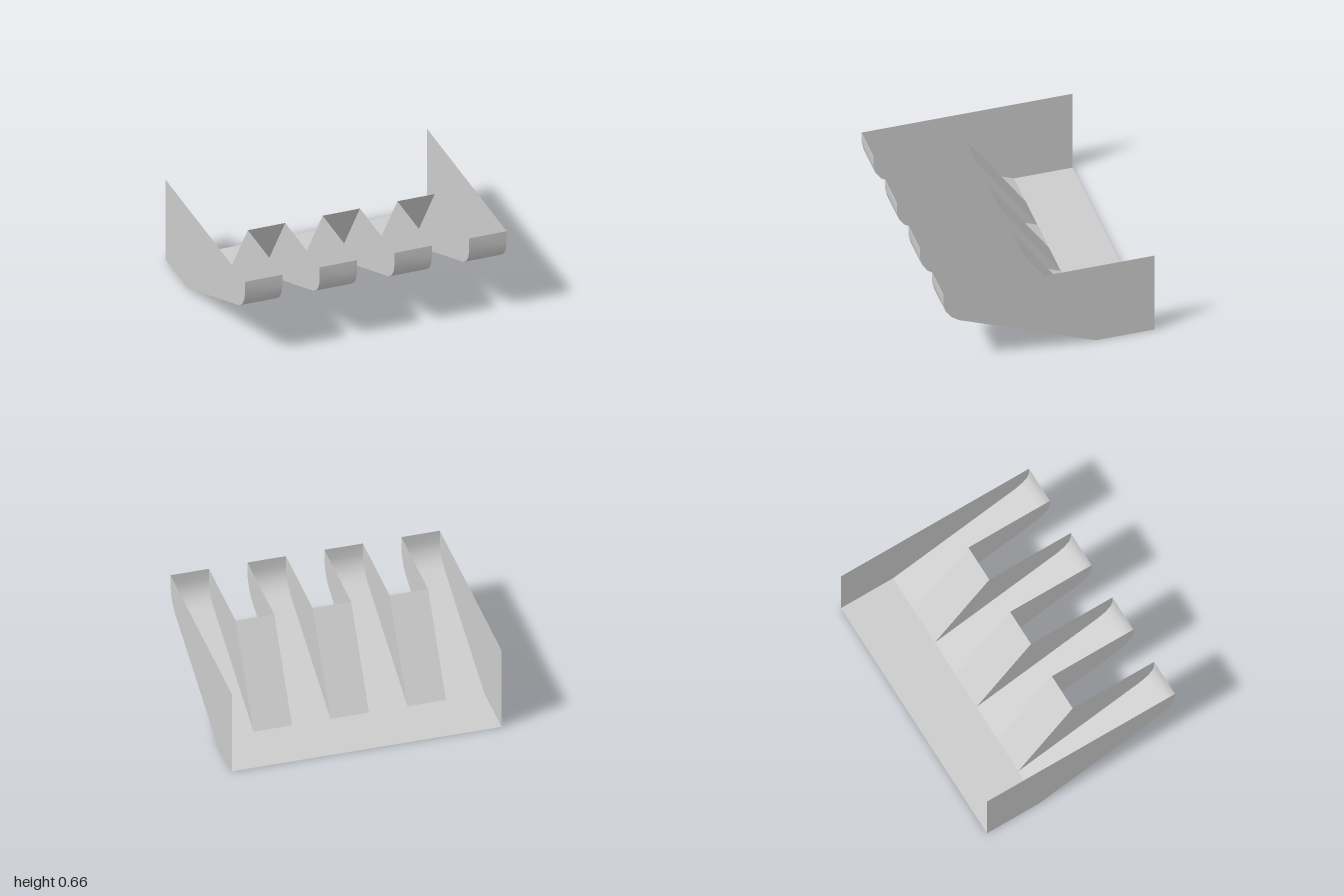
import * as THREE from 'three';

const grey = new THREE.MeshStandardMaterial({ color: 0xcccccc, side: THREE.DoubleSide });
grey.name = 'plain grey';

const BACK = -0.785, BEND = -0.35, FRONT = 0.785, TOP = 0.66, GAP = 0.105;
const BAYS = 7, W = 2 / BAYS;

// tongue section as [z, y]: long slope, rounded nose, upright lip
const tongueProfile = [[BEND, 0], [0.67, 0.405], [0.73, 0.447], [0.77, 0.505], [FRONT, 0.57], [FRONT, TOP]];

// sheet swept along x from a [z, y] profile, smooth along its length
function sheet(name, profile, x0, x1) {
  const pos = [], idx = [];
  profile.forEach(([z, y], i) => {
    pos.push(x0, y, z, x1, y, z);
    const a = i * 2;
    if (i) idx.push(a - 2, a - 1, a, a - 1, a + 1, a);
  });
  // wind so that the outside (underside and front) is the front face
  idx.reverse();
  const g = new THREE.BufferGeometry();
  g.setAttribute('position', new THREE.Float32BufferAttribute(pos, 3));
  g.setIndex(idx.reverse());
  g.computeVertexNormals();
  const mesh = new THREE.Mesh(g, grey);
  mesh.name = name;
  return mesh;
}

// flat upright wall at x, facing +x or -x
function wall(name, outline, x, side) {
  const shape = new THREE.Shape(outline.map(([z, y]) => new THREE.Vector2(-side * z, y)));
  const mesh = new THREE.Mesh(new THREE.ShapeGeometry(shape), grey);
  mesh.rotation.y = side * Math.PI / 2;
  mesh.position.x = x;
  mesh.name = name;
  return mesh;
}

export function createModel() {
  const group = new THREE.Group();
  group.name = 'slottedScoop';

  // flat floor across the back
  group.add(sheet('floor', [[BACK, 0], [BEND, 0]], -1, 1));

  // full-height outer walls
  const outer = [[BACK, 0], ...tongueProfile, [BACK, TOP]];
  group.add(wall('leftWall', outer, 1, 1), wall('rightWall', outer, -1, -1));

  // alternating tongues and slots; each slot has a leaning plate and two cheeks
  const cheek = [...tongueProfile, [GAP, TOP]];
  for (let i = 0; i < BAYS; i++) {
    const x0 = -1 + i * W, x1 = x0 + W;
    if (i % 2 === 0) {
      group.add(sheet('tongue', tongueProfile, x0, x1));
    } else {
      group.add(sheet('slotPlate', [[BEND, 0], [GAP, TOP]], x0, x1));
      group.add(wall('slotCheek', cheek, x0, 1), wall('slotCheek', cheek, x1, -1));
    }
  }
  return group;
}
